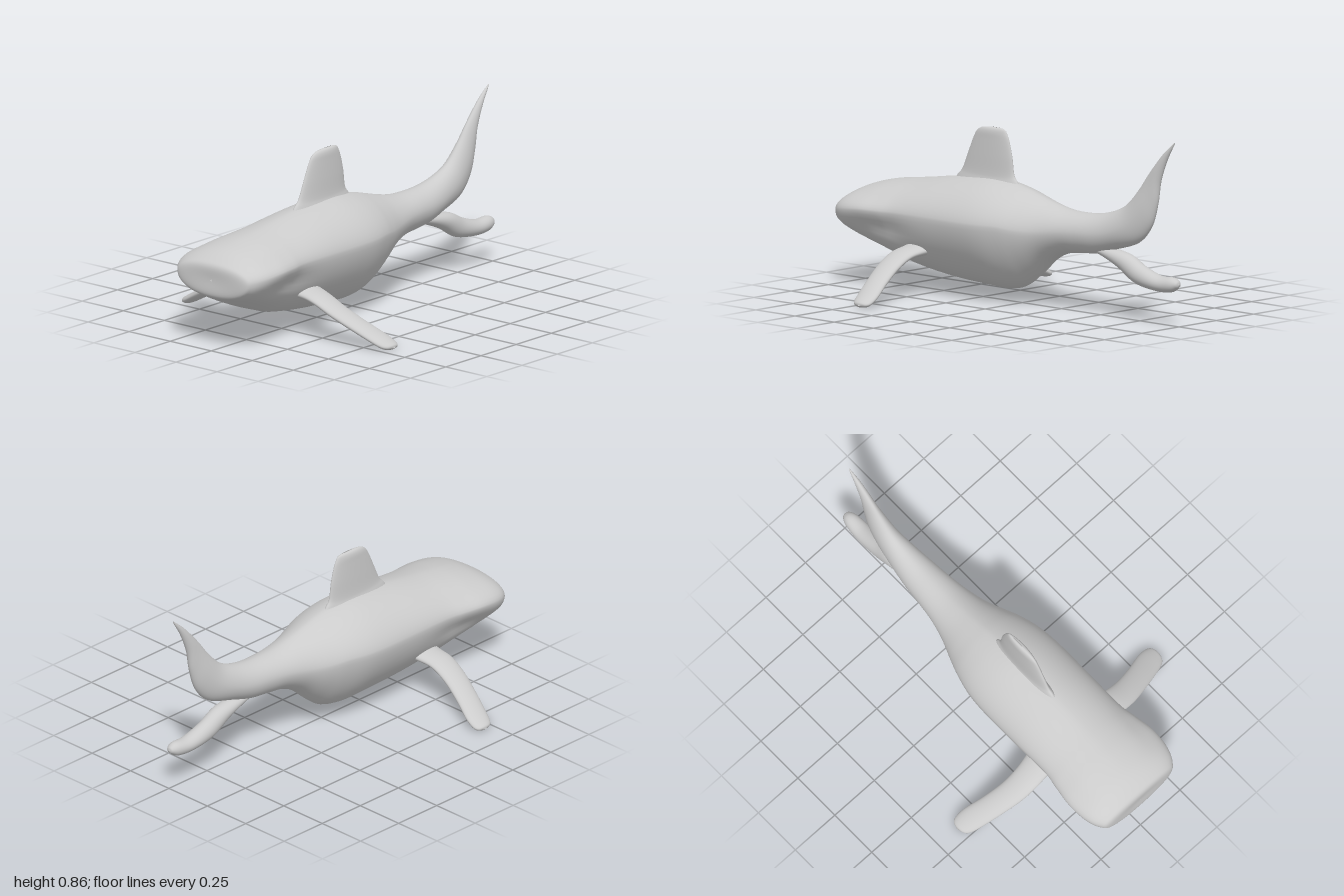
import * as THREE from 'three';

const material = new THREE.MeshStandardMaterial({ color: 0xcccccc, side: THREE.DoubleSide });
const V = (x, y, z = 0) => new THREE.Vector3(x, y, z);

// Smooth skin over sections { a, b, w, mid, n }: a and b are opposite edges, w is the
// half thickness along `normal`, mid is where it is thickest, n the superellipse power.
function loft(name, sections, normal, steps = 8, sides = 40, adjust = null) {
  const edgeA = new THREE.CatmullRomCurve3(sections.map(s => s.a), false, 'catmullrom', 0.5);
  const edgeB = new THREE.CatmullRomCurve3(sections.map(s => s.b), false, 'catmullrom', 0.5);
  const form = new THREE.CatmullRomCurve3(
    sections.map(s => V(s.w, s.mid ?? 0.5, s.n ?? 2)), false, 'catmullrom', 0.5);
  const rows = (sections.length - 1) * steps;
  const positions = [], index = [];
  const power = (v, n) => Math.sign(v) * Math.pow(Math.abs(v), 2 / n);
  for (let i = 0; i <= rows; i++) {
    const t = i / rows, A = edgeA.getPoint(t), B = edgeB.getPoint(t), f = form.getPoint(t);
    const M = B.clone().lerp(A, f.y);
    for (let j = 0; j < sides; j++) {
      const angle = (j / sides) * Math.PI * 2;
      const u = power(Math.cos(angle), f.z), v = power(Math.sin(angle), f.z);
      const p = M.clone().lerp(v > 0 ? A : B, Math.abs(v));
      p.addScaledVector(normal, u * Math.max(f.x, 0));
      if (adjust) adjust(p);
      positions.push(p.x, p.y, p.z);
      if (i < rows) {
        const k = (j + 1) % sides, r = i * sides, q = r + sides;
        index.push(r + j, q + j, r + k, r + k, q + j, q + k);
      }
    }
  }
  const geometry = new THREE.BufferGeometry();
  geometry.setAttribute('position', new THREE.Float32BufferAttribute(positions, 3));
  geometry.setIndex(index);
  geometry.computeVertexNormals();
  const mesh = new THREE.Mesh(geometry, material);
  mesh.name = name;
  return mesh;
}

// Shallow hollows along the cheek and above the brow
function shapeHead(p) {
  const dent = (x, y, rx, ry) => Math.exp(-(((p.x - x) / rx) ** 2) - ((p.y - y) / ry) ** 2);
  p.z *= 1 - 0.1 * dent(-0.72, 0.3, 0.16, 0.05) - 0.06 * dent(-0.8, 0.45, 0.14, 0.03);
}

export function createModel() {
  const group = new THREE.Group();
  group.name = 'seaCreature';
  const side = V(0, 0, 1);

  // Body: x, top, bottom, half width, height of widest point, roundness
  const trunk = [
    [-1, 0.35, 0.34, 0.003, 0.345, 2], [-1, 0.41, 0.275, 0.18, 0.35, 2.2],
    [-0.97, 0.44, 0.25, 0.232, 0.36, 2.1], [-0.9, 0.475, 0.215, 0.262, 0.37, 1.9],
    [-0.8, 0.5, 0.175, 0.27, 0.38, 1.75], [-0.7, 0.515, 0.14, 0.256, 0.38, 1.7],
    [-0.6, 0.528, 0.11, 0.24, 0.38, 1.7], [-0.4, 0.558, 0.082, 0.24, 0.38, 1.65],
    [-0.2, 0.575, 0.07, 0.24, 0.38, 1.6], [-0.08, 0.568, 0.066, 0.23, 0.38, 1.6],
    [0.02, 0.55, 0.085, 0.205, 0.38, 1.6], [0.1, 0.528, 0.14, 0.175, 0.37, 1.65],
    [0.2, 0.5, 0.225, 0.135, 0.37, 1.75], [0.3, 0.48, 0.272, 0.11, 0.38, 1.85],
    [0.4, 0.476, 0.285, 0.096, 0.385, 1.9], [0.5, 0.483, 0.296, 0.086, 0.39, 1.9],
    [0.6, 0.508, 0.325, 0.072, 0.41, 1.9],
  ].map(([x, top, bottom, w, wide, n]) => (
    { a: V(x, top), b: V(x, bottom), w, mid: (wide - bottom) / (top - bottom), n }));

  // The body sweeps up into the upper tail lobe: front edge, rear edge, half width
  const upperTail = [
    [0.68, 0.55, 0.74, 0.37, 0.055], [0.755, 0.63, 0.82, 0.45, 0.042],
    [0.8, 0.69, 0.86, 0.56, 0.03], [0.85, 0.75, 0.88, 0.67, 0.022],
    [0.905, 0.81, 0.922, 0.775, 0.014], [0.968, 0.865, 0.972, 0.86, 0.003],
  ].map(([ax, ay, bx, by, w]) => ({ a: V(ax, ay), b: V(bx, by), w, n: 1.9 }));
  group.add(loft('bodyAndUpperTail', [...trunk, ...upperTail], side, 6, 56, shapeHead));

  // Lower tail lobe
  const lowerTail = [
    [0.42, 0.34, 0.42, 0.3, 0.02], [0.52, 0.335, 0.5, 0.292, 0.035],
    [0.68, 0.312, 0.62, 0.245, 0.045], [0.78, 0.265, 0.73, 0.182, 0.045],
    [0.88, 0.233, 0.86, 0.16, 0.044], [0.96, 0.234, 0.95, 0.163, 0.036],
    [0.992, 0.22, 0.99, 0.185, 0.02], [1, 0.204, 1, 0.2, 0.002],
  ].map(([ax, ay, bx, by, w]) => ({ a: V(ax, ay), b: V(bx, by), w }));
  group.add(loft('lowerTail', lowerTail, side));

  // Dorsal fin: height, leading x, trailing x, half thickness
  const dorsal = [
    [0.52, -0.44, 0, 0.05], [0.565, -0.41, -0.03, 0.032], [0.6, -0.378, -0.053, 0.026],
    [0.68, -0.342, -0.065, 0.023], [0.75, -0.31, -0.083, 0.02], [0.785, -0.287, -0.098, 0.018],
    [0.803, -0.255, -0.112, 0.012], [0.81, -0.2, -0.14, 0.002],
  ].map(([y, lead, trail, w]) => ({ a: V(lead, y), b: V(trail, y), w }));
  group.add(loft('dorsalFin', dorsal, side));

  // Side fins: z, height, leading x, trailing x, half thickness
  const pectoral = [
    [0.1, 0.225, -0.6, -0.42, 0.04], [0.19, 0.215, -0.585, -0.44, 0.03],
    [0.27, 0.198, -0.588, -0.455, 0.025], [0.36, 0.155, -0.578, -0.452, 0.025],
    [0.46, 0.103, -0.55, -0.428, 0.024], [0.55, 0.055, -0.52, -0.398, 0.022],
    [0.6, 0.029, -0.5, -0.393, 0.02], [0.625, 0.02, -0.478, -0.405, 0.014],
    [0.635, 0.018, -0.445, -0.435, 0.002],
  ].map(([z, y, lead, trail, w]) => ({ a: V(trail, y, z), b: V(lead, y, z), w }));
  for (const [name, sign] of [['frontSideFin', 1], ['backSideFin', -1]]) {
    const fin = loft(name, pectoral, V(0, 0.9, 0.44));
    fin.scale.z = sign;
    group.add(fin);
  }
  return group;
}
